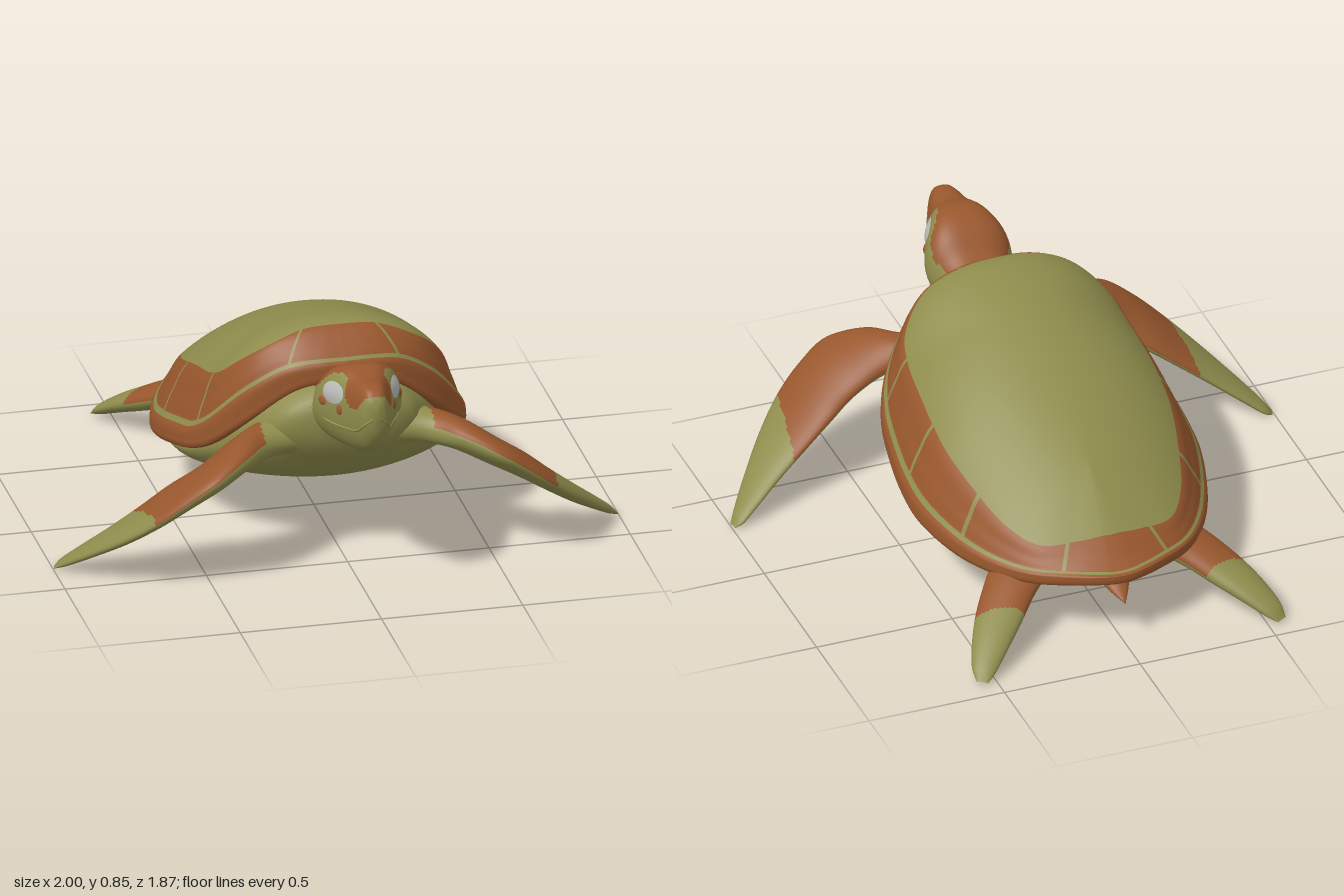
import * as THREE from 'three';
import { mergeVertices } from 'three/addons/utils/BufferGeometryUtils.js';

const material = (name, color) => {
  const m = new THREE.MeshStandardMaterial({ color });
  m.name = name;
  return m;
};
const { sin, cos, abs, sign, PI } = Math;
const { lerp, clamp, smoothstep } = THREE.MathUtils;

// Smooth lookup in a table whose first column is the ascending key
function lookup(rows, key) {
  const n = rows.length - 1;
  let i = 0;
  while (i < n - 1 && key > rows[i + 1][0]) i++;
  const a = rows[i], b = rows[i + 1], p = rows[Math.max(i - 1, 0)], q = rows[Math.min(i + 2, n)];
  const d = b[0] - a[0], k = clamp((key - a[0]) / d, 0, 1);
  return a.map((_, c) => {
    const m0 = (b[c] - p[c]) / (b[0] - p[0]) * d, m1 = (q[c] - a[c]) / (q[0] - a[0]) * d;
    const k2 = k * k, k3 = k2 * k;
    return (2 * k3 - 3 * k2 + 1) * a[c] + (k3 - 2 * k2 + k) * m0 + (3 * k2 - 2 * k3) * b[c] + (k3 - k2) * m1;
  });
}

// Smooth surface from point(u, v); paint(u, v, point) picks the material of each cell
function surface(name, nu, nv, point, mats, paint = () => 0, flip = false) {
  const pos = [], lists = mats.map(() => []);
  for (let i = 0; i <= nv; i++) for (let j = 0; j <= nu; j++) pos.push(...point(j / nu, i / nv));
  for (let i = 0; i < nv; i++) for (let j = 0; j < nu; j++) {
    const a = i * (nu + 1) + j, b = a + 1, d = a + nu + 1, c = d + 1;
    const u = (j + 0.5) / nu, v = (i + 0.5) / nv;
    lists[paint(u, v, point(u, v))].push(...(flip ? [a, d, b, b, d, c] : [a, b, d, b, c, d]));
  }
  let geo = new THREE.BufferGeometry();
  geo.setAttribute('position', new THREE.Float32BufferAttribute(pos, 3));
  geo.setIndex(lists.flat());
  geo = mergeVertices(geo, 1e-5);
  let start = 0;
  lists.forEach((l, m) => { if (l.length) geo.addGroup(start, l.length, m); start += l.length; });
  geo.computeVertexNormals();
  const mesh = new THREE.Mesh(geo, mats);
  mesh.name = name;
  return mesh;
}

// Half of the shell rim, front to back: x, y, z, and where the scutes end (1 rim, 0 ridge)
const RIM = [
  [0, .71, .485, .57], [.1, .705, .48, .58], [.2, .67, .46, .63], [.33, .56, .405, .8], [.44, .445, .31, .84],
  [.49, .385, .2, .82], [.518, .34, .05, .8], [.53, .30, -.1, .79], [.52, .27, -.25, .79], [.465, .25, -.44, .8],
  [.385, .25, -.6, .83], [.285, .26, -.72, .83], [.155, .27, -.80, .72], [.055, .275, -.842, .64], [0, .275, -.85, .63],
].map((p, i) => [i, ...p]);
// Ridge of the shell: z, y
const RIDGE = [[-.85, .285], [-.75, .375], [-.6, .475], [-.4, .585], [-.2, .685], [0, .77],
  [.2, .83], [.36, .86], [.43, .83], [.485, .79]];
// Gaps between the scutes, as positions along the rim
const GAPS = [2.05, 4.85, 7.05, 9.05, 11.65];
// Head sections: z, half width, bottom, top
const HEAD = [
  [.42, .13, .56, .70], [.5, .115, .53, .715], [.56, .13, .51, .745], [.62, .153, .512, .80],
  [.67, .15, .52, .83], [.73, .125, .53, .845], [.8, .09, .55, .83], [.86, .068, .58, .83],
  [.9, .05, .62, .82], [.925, .032, .67, .79], [.935, 0, .725, .755],
];
// Lower limit of the coloured crown: z, y
const CROWN = [[.42, .66], [.52, .675], [.6, .715], [.66, .765], [.7, .81], [.77, .82], [.805, .755],
  [.88, .745], [.905, .795], [.935, .80]];
// Body sections: z, half width, bottom, middle, top
const BODY = [
  [-.8, 0, .26, .265, .27], [-.74, .16, .235, .265, .29], [-.62, .30, .20, .25, .30],
  [-.5, .40, .17, .245, .33], [-.3, .475, .157, .25, .40], [-.1, .50, .165, .275, .47],
  [.1, .485, .19, .31, .58], [.25, .435, .225, .375, .64], [.37, .345, .28, .44, .68],
  [.46, .27, .36, .51, .68], [.53, .19, .45, .55, .64], [.56, 0, .54, .56, .58],
];
const TAIL = [[-.86, 0, .165], [-.8, .035, .195], [-.72, .065, .225], [-.6, .09, .24]];
// Flipper sections: leading edge xyz, trailing edge xyz, thickness
const FRONT = [
  [.14, .49, .50, .14, .46, .32, .16], [.28, .495, .53, .28, .45, .38, .13], [.38, .485, .625, .38, .435, .42, .11],
  [.5, .435, .695, .5, .36, .43, .095], [.6, .365, .685, .6, .295, .40, .085], [.7, .28, .645, .7, .22, .375, .07],
  [.8, .19, .565, .8, .145, .35, .058], [.9, .10, .455, .9, .07, .315, .042], [.965, .04, .375, .96, .025, .296, .028],
  [.998, .008, .33, .99, .006, .302, .006],
];
const REAR = [
  [.30, .22, -.43, .15, .22, -.60, .12], [.36, .21, -.52, .22, .205, -.66, .11], [.415, .185, -.59, .28, .175, -.71, .10],
  [.48, .14, -.68, .35, .13, -.78, .085], [.53, .095, -.77, .43, .08, -.855, .065],
  [.567, .045, -.86, .495, .035, -.91, .04], [.57, .012, -.915, .535, .01, -.935, .008],
];

// Rim frame at v, with the ridge position that the rim point runs up to
function rimAt(v) {
  const w = v * 2, half = w > 1 ? 2 - w : w;
  const [index, x, y, z, edge] = lookup(RIM, half * 14);
  return { x: w > 1 ? -x : x, y, z, edge, index, spine: .22 + (z - .485) * .54 };
}
function shellPoint(u, v) {
  const r = rimAt(v), edge = Math.acos(r.edge);
  const t = u < .5 ? u * 2 * edge : lerp(edge, PI / 2, u * 2 - 1);
  const s = cos(t) * (1 - .03 * smoothstep(u, .07, .18) * (1 - smoothstep(u, .3, .5)));
  const z = lerp(r.spine, r.z, s), power = lerp(1.18, .55, smoothstep(r.z, .15, .485));
  return [r.x * s, lerp(r.y, lookup(RIDGE, z)[1], sin(t) ** power), z];
}
const LIP = [[0, 1, 0], [1, 1, -.02], [2, .97, -.035], [3, .85, -.025], [4, .5, .03]];
function lipPoint(u, v) {
  const r = rimAt(v), [, s, dy] = lookup(LIP, u * 4);
  return [r.x * s, r.y + dy, lerp(r.spine, r.z, s)];
}

// Side of the head at a given z and y; upright temples, round jaw
const headPower = k => (k > 0 ? .65 : 1);
function headX(z, y) {
  const [, w, lo, hi] = lookup(HEAD, z);
  const k = (y - (lo + hi) / 2) / ((hi - lo) / 2);
  return w * Math.sqrt(Math.max(0, 1 - k * k)) ** headPower(k);
}

// Tapered blade lofted through its sections
function flipper(name, table, side, mats, paint) {
  const rows = table.map((r, i) => [i, ...r]), n = rows.length - 1;
  const ends = f => new THREE.Vector3(f[0] + f[3], f[1] + f[4], f[2] + f[5]);
  const axis = ends(table[n]).sub(ends(table[0]));
  const point = (u, v) => {
    const r = lookup(rows, v * n), a = u * PI * 2;
    const lead = new THREE.Vector3(r[1], r[2], r[3]), trail = new THREE.Vector3(r[4], r[5], r[6]);
    const half = lead.clone().sub(trail).multiplyScalar(.5);
    const up = half.clone().cross(axis).normalize().multiplyScalar(r[7] / 2 * sin(a));
    const p = lead.add(trail).multiplyScalar(.5).addScaledVector(half, cos(a)).add(up);
    return [p.x * side, Math.max(p.y, 0), p.z];
  };
  return surface(name, 32, 120, point, mats, paint, side > 0);
}

export function createModel() {
  const green = material('olive skin', 0x8e8c4c);
  const brown = material('rust brown', 0x98572d);
  const white = material('eye grey', 0xb8b8b4);
  const skin = [green, brown];
  const model = new THREE.Group();
  model.name = 'seaTurtle';

  // Shell with a rim band and a ring of scutes
  model.add(surface('shell', 50, 280, shellPoint, skin, (u, v) => {
    if (u > .5 || (u > .12 && u < .16)) return 0;
    const i = rimAt(v).index;
    return u > .12 && GAPS.some(g => abs(i - g) < .06) ? 0 : 1;
  }, true));
  model.add(surface('shellLip', 12, 140, lipPoint, [brown]));

  // Body, belly and tail
  model.add(surface('body', 48, 60, (u, v) => {
    const [z, w, lo, mid, hi] = lookup(BODY, lerp(-.8, .56, v)), s = sin(u * PI * 2);
    return [w * cos(u * PI * 2), mid + (s > 0 ? hi - mid : mid - lo) * s, z];
  }, skin, (u, v, p) => (p[2] < -.57 ? 1 : 0)));
  model.add(surface('tail', 20, 16, (u, v) => {
    const [z, r, y] = lookup(TAIL, lerp(-.86, -.6, v)), a = u * PI * 2;
    return [r * cos(a), y + r * .6 * sin(a), z];
  }, [brown]));

  // Head and neck
  model.add(surface('head', 64, 110, (u, v) => {
    const [z, w, lo, hi] = lookup(HEAD, lerp(.42, .935, v)), c = cos(u * PI * 2), s = sin(u * PI * 2);
    return [w * sign(c) * abs(c) ** headPower(s), (lo + hi) / 2 + (hi - lo) / 2 * s, z];
  }, skin, (u, v, p) => (p[1] > lookup(CROWN, p[2])[1] ? 1 : 0)));

  for (const side of [1, -1]) {
    const label = side > 0 ? 'left' : 'right';

    // Eyes and cheek spots follow the head surface
    const patch = (name, z, y, rz, ry, lift, mat) => model.add(surface(label + name, 24, 5, (u, v) => {
      const a = u * PI * 2, pz = z + rz * v * cos(a), py = y + ry * v * sin(a);
      return [side * (headX(pz, py) + lift * (1.2 - v * v)), py, pz];
    }, [mat], undefined, side < 0));
    patch('Eye', .742, .757, .05, .038, .007, white);
    patch('CheekSpotFront', .785, .708, .014, .018, .005, brown);
    patch('CheekSpotBack', .7, .712, .02, .016, .005, brown);

    // Edge of the upper jaw
    const path = [[.931, .725], [.915, .70], [.88, .668], [.8, .648], [.72, .645], [.62, .655]]
      .map(([z, y]) => new THREE.Vector3(side * headX(z, y), y, z));
    const jaw = new THREE.Mesh(new THREE.TubeGeometry(new THREE.CatmullRomCurve3(path), 40, .005, 8), green);
    jaw.name = label + 'JawEdge';
    model.add(jaw);

    // Flippers: coloured on top near the body
    model.add(flipper(label + 'FrontFlipper', FRONT, side, skin,
      (u, v, p) => (u < .5 && abs(p[0]) > .3 && abs(p[0]) < .75 - .14 * (p[2] - .36) ? 1 : 0)));
    model.add(flipper(label + 'RearFlipper', REAR, side, skin,
      (u, v, p) => (u < .5 && p[2] > -.71 - .32 * (.52 - abs(p[0])) ? 1 : 0)));
  }
  return model;
}
